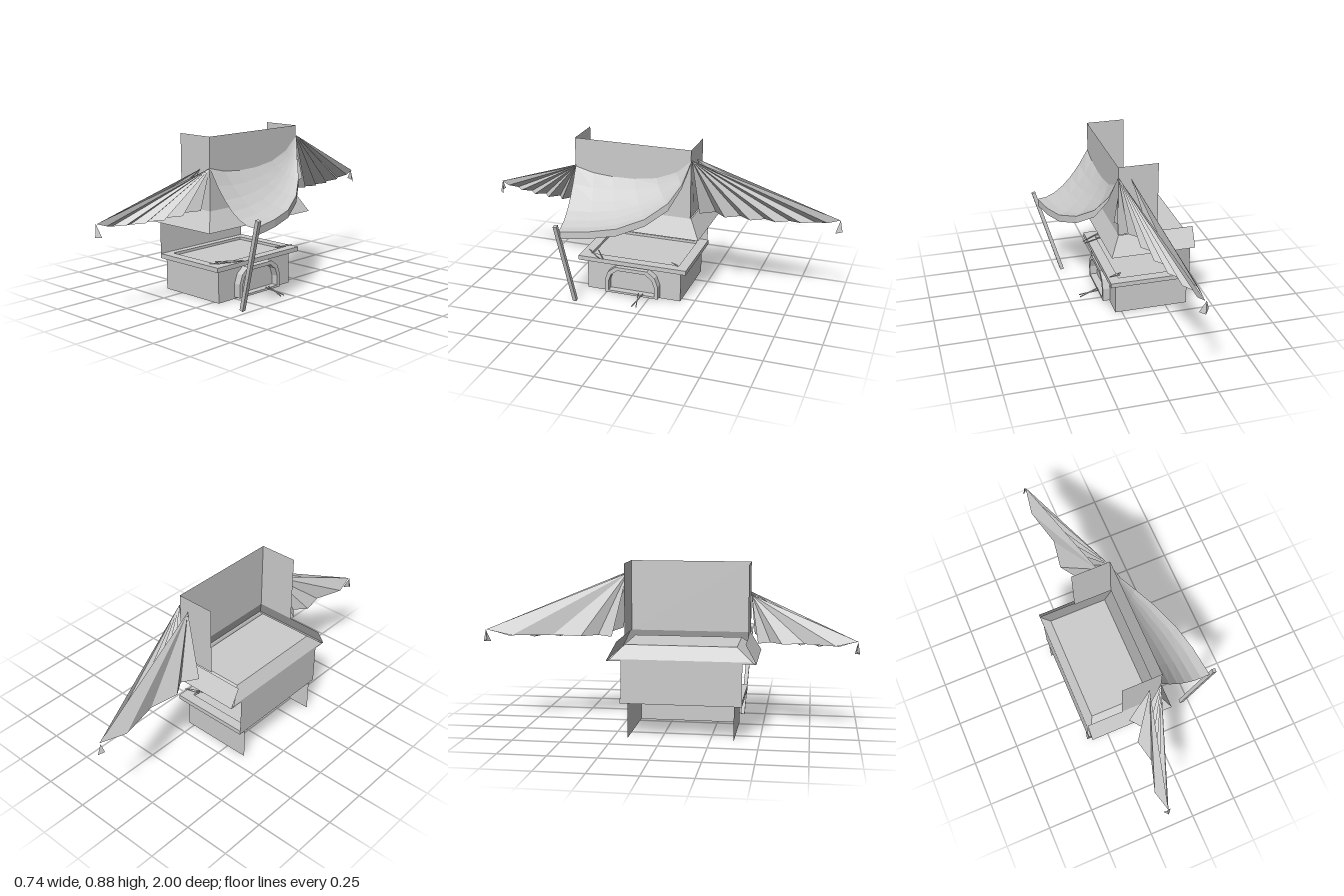
import * as THREE from 'three';

const plaster = new THREE.MeshStandardMaterial({ name: 'light grey', color: 0xcccccc, side: THREE.DoubleSide, flatShading: true });

function add(parent, name, geometry) {
  const mesh = new THREE.Mesh(geometry, plaster);
  mesh.name = name;
  parent.add(mesh);
  return mesh;
}

// Skin between rows of points, each row the same length
function loft(rows) {
  const pos = [];
  for (let i = 0; i < rows.length - 1; i++) {
    for (let j = 0; j < rows[i].length - 1; j++) {
      const a = rows[i][j], b = rows[i][j + 1], c = rows[i + 1][j + 1], d = rows[i + 1][j];
      pos.push(...a, ...d, ...b, ...b, ...d, ...c);
    }
  }
  const g = new THREE.BufferGeometry();
  g.setAttribute('position', new THREE.Float32BufferAttribute(pos, 3));
  g.computeVertexNormals();
  return g;
}

const quad = (a, b, c, d) => loft([[a, b], [d, c]]);

// Closed rectangle at height y
const ring = (x0, x1, z0, z1, y) => [[x0, y, z0], [x1, y, z0], [x1, y, z1], [x0, y, z1], [x0, y, z0]];

// Box beam between two points
function beam(a, b, w) {
  const p = new THREE.Vector3(...a), q = new THREE.Vector3(...b);
  const g = new THREE.BoxGeometry(w, p.distanceTo(q), w);
  const turn = new THREE.Quaternion().setFromUnitVectors(new THREE.Vector3(0, 1, 0), q.clone().sub(p).normalize());
  return g.applyQuaternion(turn).translate(...p.add(q).multiplyScalar(0.5).toArray());
}

function makeForge() {
  const g = new THREE.Group();
  g.name = 'forge';
  // Walls, open at the back and underneath
  const path = [[-0.37, -0.175], [0.035, -0.175], [0.035, 0.37], [-0.37, 0.37]];
  add(g, 'forgeWalls', loft([0.18, 0].map((y) => path.map(([x, z]) => [x, y, z]))));
  // Rimmed table with a shallow hearth
  add(g, 'tableRim', loft([
    ring(-0.37, 0.035, -0.175, 0.37, 0.18), ring(-0.37, 0.07, -0.215, 0.41, 0.18),
    ring(-0.37, 0.07, -0.215, 0.41, 0.205), ring(-0.33, 0.015, -0.16, 0.355, 0.205),
    ring(-0.33, 0.015, -0.16, 0.355, 0.19),
  ]));
  add(g, 'hearthFloor', quad([-0.33, 0.19, -0.16], [-0.33, 0.19, 0.355], [0.015, 0.19, 0.355], [0.015, 0.19, -0.16]));
  add(g, 'backWall', quad([-0.37, 0.2, -0.21], [-0.37, 0.2, 0.41], [-0.37, 0.4, 0.41], [-0.37, 0.4, -0.21]));

  // Arched mouth of the ash pit
  const arch = (w, h, y0, cls) => {
    const p = new cls();
    p.moveTo(-w, y0);
    [[-w, h * 0.5], [-w * 0.88, h * 0.8], [-w * 0.6, h], [w * 0.6, h], [w * 0.88, h * 0.8], [w, h * 0.5], [w, y0]]
      .forEach(([x, y]) => p.lineTo(x, y));
    p.closePath();
    return p;
  };
  const shape = arch(0.155, 0.168, 0.01, THREE.Shape);
  shape.holes.push(arch(0.135, 0.148, 0.022, THREE.Path));
  const mouth = new THREE.ExtrudeGeometry(shape, { depth: 0.04, bevelEnabled: false });
  add(g, 'archMouth', mouth.rotateY(Math.PI / 2).translate(0.035, 0, 0.098));

  // Tongs and pokers
  const tools = [
    [[0.075, 0.03, 0.055], [0.185, 0.003, 0.03]], [[0.075, 0.03, 0.03], [0.185, 0.003, 0.055]],
    [[-0.02, 0.206, 0.38], [0.105, 0.222, 0.27]], [[-0.03, 0.206, 0.33], [0.1, 0.22, 0.25]],
    [[-0.01, 0.206, -0.11], [0.065, 0.224, -0.17]], [[0, 0.206, -0.13], [0.045, 0.222, -0.16]],
  ];
  tools.forEach(([a, b]) => add(g, 'tool', beam(a, b, 0.005)));
  return g;
}

function makeChimney() {
  const g = new THREE.Group();
  g.name = 'chimney';
  const flue = [[-0.178, -0.225], [0.035, -0.225], [0.035, 0.425], [-0.178, 0.425]];
  add(g, 'flue', loft([0.88, 0.5].map((y) => flue.map(([x, z]) => [x, y, z]))));
  // Flared hood, open against the wall
  add(g, 'hood', loft([
    [[-0.37, 0.5, -0.23], [0.035, 0.5, -0.23], [0.035, 0.5, 0.425], [-0.37, 0.5, 0.425]],
    [[-0.37, 0.4, -0.285], [0.085, 0.4, -0.285], [0.085, 0.4, 0.48], [-0.37, 0.4, 0.48]],
  ]));
  // Inner lining of the hood
  add(g, 'hoodLining', loft([
    ring(-0.33, -0.015, -0.195, 0.38, 0.48), ring(-0.37, 0.065, -0.265, 0.46, 0.41), ring(-0.37, 0.085, -0.285, 0.48, 0.4),
  ]));
  add(g, 'hoodCeiling', quad([-0.33, 0.48, -0.195], [-0.33, 0.48, 0.38], [-0.015, 0.48, 0.38], [-0.015, 0.48, -0.195]));
  return g;
}

function makeCanopy() {
  const g = new THREE.Group();
  g.name = 'canopy';
  const curve = (pts) => new THREE.CatmullRomCurve3(pts.map((p) => new THREE.Vector3(...p)));
  const wall = curve([[0.036, 0.825, -0.23], [0.036, 0.74, -0.13], [0.036, 0.695, 0.015], [0.036, 0.685, 0.165], [0.036, 0.69, 0.3], [0.036, 0.72, 0.425]]);
  const edge = curve([[0.036, 0.825, -0.23], [0.09, 0.68, -0.18], [0.165, 0.585, -0.105], [0.255, 0.505, 0.05], [0.305, 0.475, 0.21], [0.335, 0.455, 0.41]]);
  const rows = [], hem = [];
  for (let i = 0; i <= 6; i++) {
    const s = i / 6, a = wall.getPoint(s), b = edge.getPoint(s), row = [];
    for (let j = 0; j <= 6; j++) {
      const t = j / 6, p = a.clone().lerp(b, t);
      p.y -= 0.28 * s * t * (1 - t);
      row.push(p.toArray());
    }
    rows.push(row);
    hem.push([b.toArray(), [b.x, b.y - 0.04 * Math.min(1, 3 * s), b.z]]);
  }
  add(g, 'canopyCloth', loft(rows));
  add(g, 'canopyHem', loft(hem));
  add(g, 'canopyPole', beam([0.212, 0.004, 0.375], [0.357, 0.498, 0.41], 0.021));
  return g;
}

// Pleated drape fanning out from a chimney corner; side is the z direction
function makeDrape(name, side, z0, top, tipY, hemY) {
  const g = new THREE.Group();
  g.name = name;
  const reach = 0.985 - Math.abs(z0);
  const at = (x, y, d) => [x, y, z0 + side * d * reach];
  const fan = (apex, rim) => loft([rim.map(() => apex), rim]);
  // Front sheet: zigzag between the ridge line and an inner line
  const front = [at(-0.165, tipY, 1)];
  for (let i = 1; i <= 11; i++) {
    const d = 1 - i / 11.5;
    const outer = -0.165 + (1 - d) * 0.165;
    const y = hemY + 0.04 * (1 - d) ** 3 + 0.02 * d ** 4;
    front.push(at(i % 2 ? outer : outer - 0.06 * (1 - d) - 0.025, y + (i % 2 ? 0.008 : 0), d));
  }
  add(g, 'frontPleats', fan(at(0.035, top, 0), front));
  // Rear sheet
  const rear = [[-0.165, 1], [-0.19, 0.8], [-0.14, 0.52], [-0.165, 0.31], [-0.11, 0.2], [-0.16, 0.09]];
  add(g, 'rearPleats', fan(at(-0.03, top - 0.01, 0.01), rear.map(([x, d]) => at(x, d === 1 ? tipY : hemY + 0.015, d))));
  // Loose end at the tip
  add(g, 'drapeEnd', fan(at(-0.172, tipY, 1), [at(-0.187, tipY - 0.05, 0.985), at(-0.165, tipY - 0.065, 1.02), at(-0.143, tipY - 0.068, 0.975)]));
  return g;
}

export function createModel() {
  const model = new THREE.Group();
  model.name = 'smithy';
  model.add(makeForge(), makeChimney(), makeCanopy());
  model.add(makeDrape('frontDrape', 1, 0.425, 0.72, 0.495, 0.457));
  const back = makeDrape('backDrape', -1, -0.23, 0.825, 0.515, 0.475);
  add(back, 'hangingEnd', loft([[[0.038, 0.72, -0.235], [0.045, 0.7, -0.24]], [[0.043, 0.575, -0.245], [0.066, 0.59, -0.25]]]));
  model.add(back);
  return model;
}
